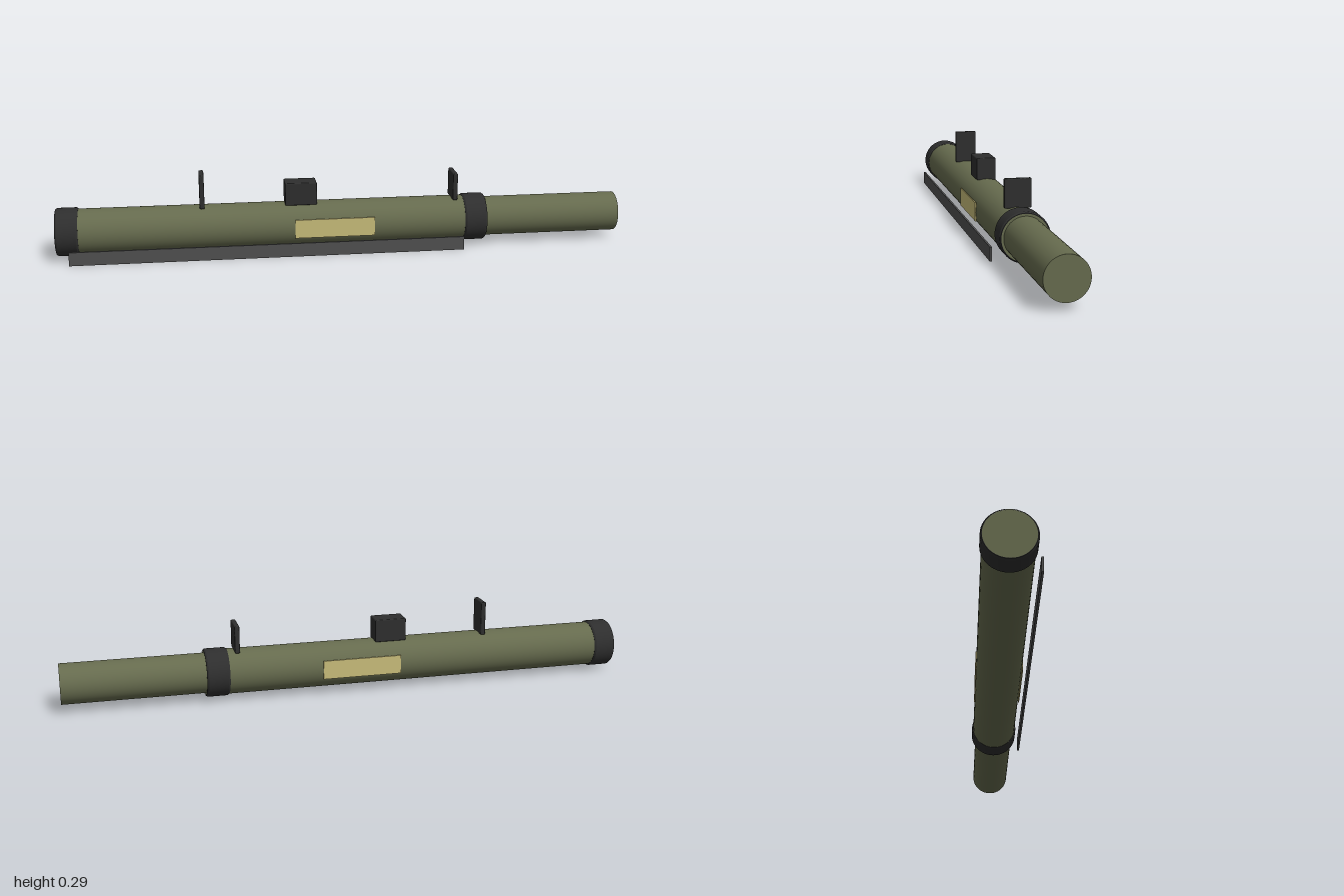
import * as THREE from 'three';
import { RoundedBoxGeometry } from 'three/addons/geometries/RoundedBoxGeometry.js';
import { toCreasedNormals } from 'three/addons/utils/BufferGeometryUtils.js';

const AXIS_Y = 0.094, AXIS_Z = -0.005; // centre line of the tube

export function createModel() {
  const material = (name, color) => {
    const m = new THREE.MeshStandardMaterial({ color });
    m.name = name;
    return m;
  };
  const olive = material('olive', 0x666b4e);
  const black = material('black', 0x2e2e2e);
  const grey = material('strapGrey', 0x505050);
  const tan = material('labelTan', 0xc8bc7a);

  const model = new THREE.Group();
  model.name = 'launchTube';
  const add = (name, geometry, mat, x, y, z) => {
    const mesh = new THREE.Mesh(geometry, mat);
    mesh.name = name;
    mesh.position.set(x, y, z);
    model.add(mesh);
  };

  // Closed cylinder along x
  const tube = (name, x0, x1, radius) => {
    const g = new THREE.CylinderGeometry(radius, radius, x1 - x0, 48).rotateZ(-Math.PI / 2);
    add(name, g, olive, (x0 + x1) / 2, AXIS_Y, AXIS_Z);
  };
  tube('outerTube', -0.998, 0.51, 0.079);
  tube('innerTube', 0.5, 1, 0.07);

  // Bevelled ring around the tube
  const band = (name, x0, x1) => {
    const h = (x1 - x0) / 2, b = 0.006;
    const profile = [[0.078, -h], [0.08, -h], [0.084, -h + b], [0.084, h - b], [0.08, h], [0.078, h]]
      .map(([r, y]) => new THREE.Vector2(r, y));
    const g = toCreasedNormals(new THREE.LatheGeometry(profile, 48).rotateZ(-Math.PI / 2), 0.4);
    add(name, g, black, (x0 + x1) / 2, AXIS_Y, AXIS_Z);
  };
  band('endBand', -1, -0.922);
  band('middleBand', 0.432, 0.512);

  // Sights and trigger housing on top
  const block = (name, x, width, top, depth) => {
    const bottom = 0.168;
    const g = new RoundedBoxGeometry(width, top - bottom, depth, 2, 0.004);
    add(name, g, black, x, (top + bottom) / 2, AXIS_Z);
  };
  block('frontSight', 0.4, 0.017, 0.266, 0.09);
  block('rearSight', -0.496, 0.017, 0.289, 0.08);
  block('triggerHousing', -0.15, 0.112, 0.249, 0.07);

  // Flat label on each side
  for (const side of [1, -1]) {
    add(side > 0 ? 'frontLabel' : 'backLabel', new THREE.BoxGeometry(0.28, 0.066, 0.004),
      tan, -0.035, AXIS_Y + 0.001, AXIS_Z + side * 0.079);
  }

  // Carrying strap
  add('strap', new THREE.BoxGeometry(1.38, 0.048, 0.007), grey, -0.265, 0.024, 0.088);

  return model;
}
